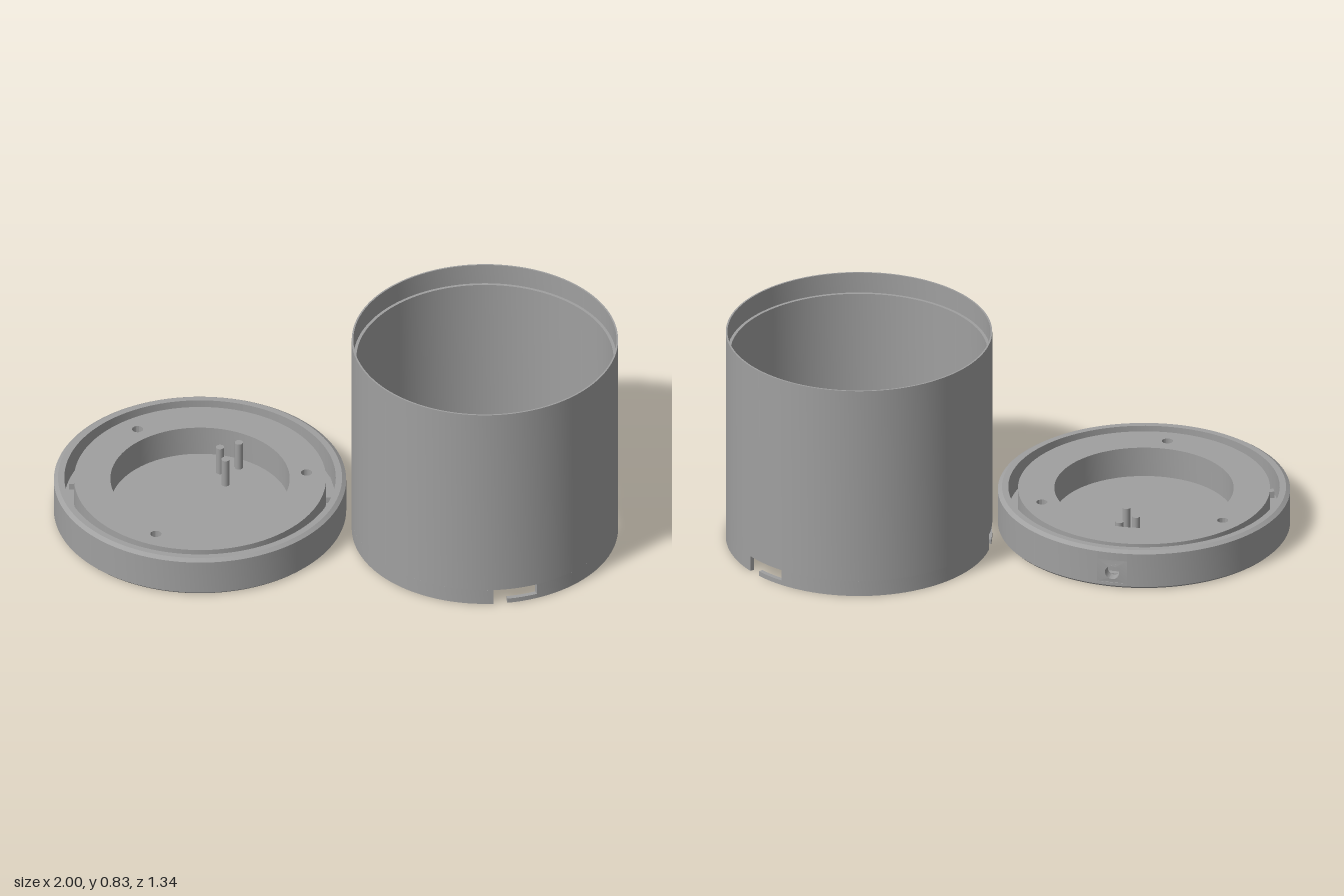
import * as THREE from 'three';
import { mergeGeometries, toCreasedNormals } from 'three/addons/utils/BufferGeometryUtils.js';

const rad = THREE.MathUtils.degToRad;
const grey = new THREE.MeshStandardMaterial({ color: 0xa0a0a0, side: THREE.DoubleSide });
grey.name = 'plain grey';

function add(parent, name, geometry) {
  const mesh = new THREE.Mesh(geometry, grey);
  mesh.name = name;
  parent.add(mesh);
  return mesh;
}

// Solid ring section: closed (radius, height) profile swept from angle a to b.
// Angles are in degrees, 0 at +x and 90 at +z.
function ringSector(profile, a = 0, b = 360) {
  const pts = profile.map(([r, y]) => new THREE.Vector2(r, y));
  const segments = Math.max(3, Math.round((b - a) / 3));
  const sweep = new THREE.LatheGeometry([...pts, pts[0]], segments, rad(90 - b), rad(b - a));
  const parts = [toCreasedNormals(sweep, 0.4)];
  if (b - a < 360) {
    for (const end of [a, b]) {
      parts.push(new THREE.ShapeGeometry(new THREE.Shape(pts)).toNonIndexed().rotateY(-rad(end)));
    }
  }
  return mergeGeometries(parts);
}

const box = (r0, r1, y0, y1) => [[r0, y0], [r1, y0], [r1, y1], [r0, y1]];

// Horizontal disc with round holes [x, z, radius], between two heights
function drilledDisc(radius, holes, y0, y1) {
  const shape = new THREE.Shape().absarc(0, 0, radius, 0, Math.PI * 2);
  for (const [x, z, r] of holes) {
    shape.holes.push(new THREE.Path().absarc(x, z, r, 0, Math.PI * 2, true));
  }
  const g = new THREE.ExtrudeGeometry(shape, { depth: y1 - y0, bevelEnabled: false, curveSegments: 60 });
  return toCreasedNormals(g.rotateX(Math.PI / 2).translate(0, y1, 0), 0.4);
}

// Sleeve: open tube with an inner ledge near the top and three L-shaped slots
function buildSleeve() {
  const sleeve = new THREE.Group();
  sleeve.name = 'sleeve';
  const R = 0.483, r = 0.466, slotTop = 0.06, lipTop = 0.018;
  add(sleeve, 'sleeveWall', ringSector([
    [r, slotTop], [R, slotTop], [R, 0.83], [0.477, 0.83], [0.477, 0.75], [r, 0.75],
  ]));
  const slots = [[-67, -48], [42.7, 61.9], [161.5, 180.5]];
  slots.forEach(([start, end], i) => {
    const next = i < 2 ? slots[i + 1][0] : slots[0][0] + 360;
    add(sleeve, 'lowerWall', ringSector(box(r, R, 0, slotTop), end, next));
    add(sleeve, 'slotLip', ringSector(box(r, R, 0, lipTop), start, end - 6));
  });
  return sleeve;
}

// Rim panel with a round cable hole, bent to follow the rim
function cablePanel(centre, half, r0, r1, y0, y1) {
  const w = rad(half) * r1;
  const shape = new THREE.Shape([[-w, y0], [w, y0], [w, y1], [-w, y1]].map(p => new THREE.Vector2(...p)));
  shape.holes.push(new THREE.Path().absarc(0, 0.06, 0.026, 0, Math.PI * 2, true));
  const g = new THREE.ExtrudeGeometry(shape, { depth: r1 - r0, bevelEnabled: false, curveSegments: 24 });
  const p = g.attributes.position;
  for (let i = 0; i < p.count; i++) {
    const a = rad(centre) - p.getX(i) / r1, r = r0 + p.getZ(i);
    p.setXYZ(i, r * Math.cos(a), p.getY(i), r * Math.sin(a));
  }
  return toCreasedNormals(g, 0.4);
}

// Base: round tray with a ring groove, central pocket, pegs and screw holes
function buildBase() {
  const base = new THREE.Group();
  base.name = 'base';

  // Outer rim and groove floor, opened at the back for the cable hole
  add(base, 'rim', ringSector([
    [0.475, 0], [0.522, 0], [0.53, 0.008], [0.53, 0.14], [0.515, 0.15],
    [0.492, 0.15], [0.492, 0.05], [0.455, 0.05], [0.455, 0.03], [0.475, 0.03],
  ], -84, 264));
  add(base, 'rimBelowHole', ringSector(
    [[0.475, 0], [0.522, 0], [0.53, 0.008], [0.53, 0.02], [0.475, 0.02]], -96, -84));
  add(base, 'rimAboveHole', ringSector(
    [[0.492, 0.11], [0.53, 0.11], [0.53, 0.14], [0.515, 0.15], [0.492, 0.15]], -96, -84));
  add(base, 'cableHolePanel', cablePanel(-90, 6, 0.492, 0.53, 0.02, 0.11));

  // Floor and raised inner plate with three screw holes
  const screws = r => [90, 210, 330].map(a => [0.388 * Math.cos(rad(a)), 0.388 * Math.sin(rad(a)), r]);
  add(base, 'floor', drilledDisc(0.475, screws(0.03), 0.01, 0.03));
  add(base, 'innerPlate', drilledDisc(0.457, [[0, 0, 0.325], ...screws(0.02)], 0.03, 0.145));

  // Stop blocks and locking pins in the groove
  for (const a of [90, 210, 330]) {
    add(base, 'stopBlock', ringSector(box(0.457, 0.485, 0.05, 0.075), a - 8, a + 8));
  }
  for (const a of [-90, 31, 160]) {
    add(base, 'lockingPin', ringSector(box(0.455, 0.475, 0.08, 0.105), a - 1.5, a + 1.5));
  }

  // Pegs in the pocket
  for (const [x, z] of [[-0.02, -0.22], [0.03, -0.275], [0.03, -0.158]]) {
    add(base, 'peg', new THREE.CylinderGeometry(0.015, 0.015, 0.11, 20)).position.set(x, 0.085, z);
  }
  return base;
}

export function createModel() {
  const model = new THREE.Group();
  model.name = 'containerWithBase';
  const sleeve = buildSleeve();
  sleeve.position.set(0.515, 0, -0.19);
  const base = buildBase();
  base.position.set(-0.47, 0, 0.138);
  model.add(sleeve, base);
  return model;
}
